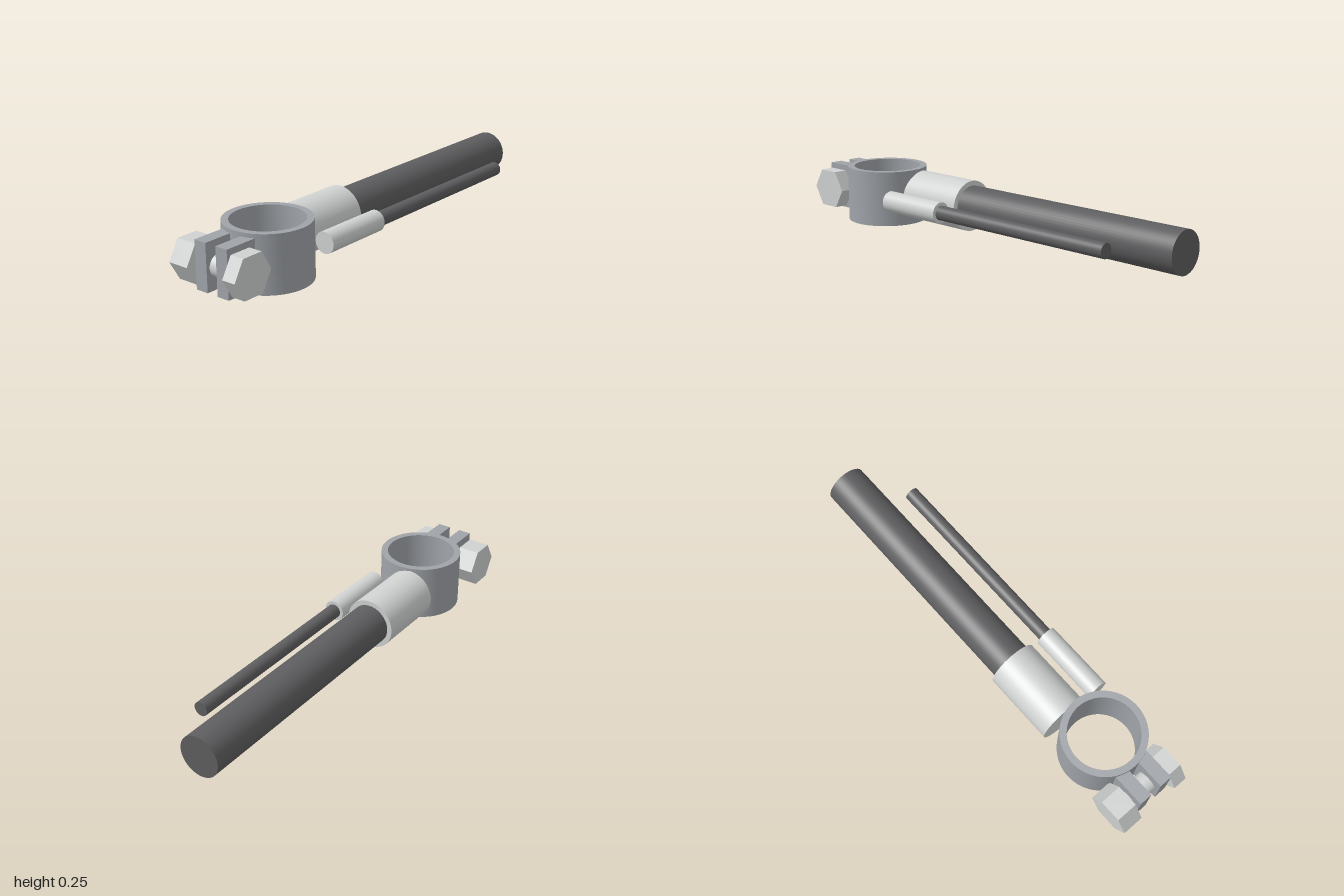
import * as THREE from 'three';
import { toCreasedNormals } from 'three/addons/utils/BufferGeometryUtils.js';

const material = (name, color) => {
  const m = new THREE.MeshStandardMaterial({ color });
  m.name = name;
  return m;
};

export function createModel() {
  const model = new THREE.Group();
  model.name = 'cableClamp';

  const clampGrey = material('clampGrey', 0xa0a4a9);
  const paleMetal = material('paleMetal', 0xd0d2d2);
  const cableBlack = material('cableBlack', 0x5e5e60);
  const midY = 0.126;

  const add = (name, geometry, mat, x, y, z) => {
    const mesh = new THREE.Mesh(geometry, mat);
    mesh.name = name;
    mesh.position.set(x, y, z);
    model.add(mesh);
    return mesh;
  };

  // Rod along x from x0 to x1
  const rodX = (name, r, x0, x1, z, mat) => add(
    name, new THREE.CylinderGeometry(r, r, x1 - x0, 48).rotateZ(-Math.PI / 2),
    mat, (x0 + x1) / 2, midY, z);

  // Clamp ring, open through the middle
  const outer = 0.184, inner = 0.154, height = 0.252;
  const profile = [[outer, 0], [outer, height], [inner, height], [inner, 0], [outer, 0]]
    .map(([r, y]) => new THREE.Vector2(r, y));
  add('clampRing', toCreasedNormals(new THREE.LatheGeometry(profile, 64), 0.6),
    clampGrey, -0.653, 0, 0.003);

  // Pair of clamping lugs
  for (const [name, z] of [['backLug', -0.053], ['frontLug', 0.059]]) {
    add(name, new THREE.BoxGeometry(0.152, 0.205, 0.059), clampGrey, -0.889, 0.132, z);
  }

  // Bolt with hexagonal head and nut, corners pointing along x
  const boltX = -0.902;
  const hex = (name, z0, z1) => {
    const g = new THREE.CylinderGeometry(0.098, 0.098, z1 - z0, 6)
      .rotateY(Math.PI / 2).rotateX(Math.PI / 2);
    add(name, toCreasedNormals(g, 0.3), paleMetal, boltX, midY, (z0 + z1) / 2);
  };
  hex('boltHead', -0.191, -0.094);
  hex('boltNut', 0.094, 0.158);
  add('boltShank', new THREE.CylinderGeometry(0.047, 0.047, 0.2, 32).rotateX(Math.PI / 2),
    paleMetal, boltX, midY, 0);

  // Crimp sleeves and the cables leaving them
  rodX('largeSleeve', 0.114, -0.477, -0.147, -0.051, paleMetal);
  rodX('largeCable', 0.092, -0.16, 1, -0.051, cableBlack);
  rodX('smallSleeve', 0.047, -0.477, -0.147, 0.142, paleMetal);
  rodX('smallCable', 0.032, -0.16, 0.767, 0.142, cableBlack);

  return model;
}
